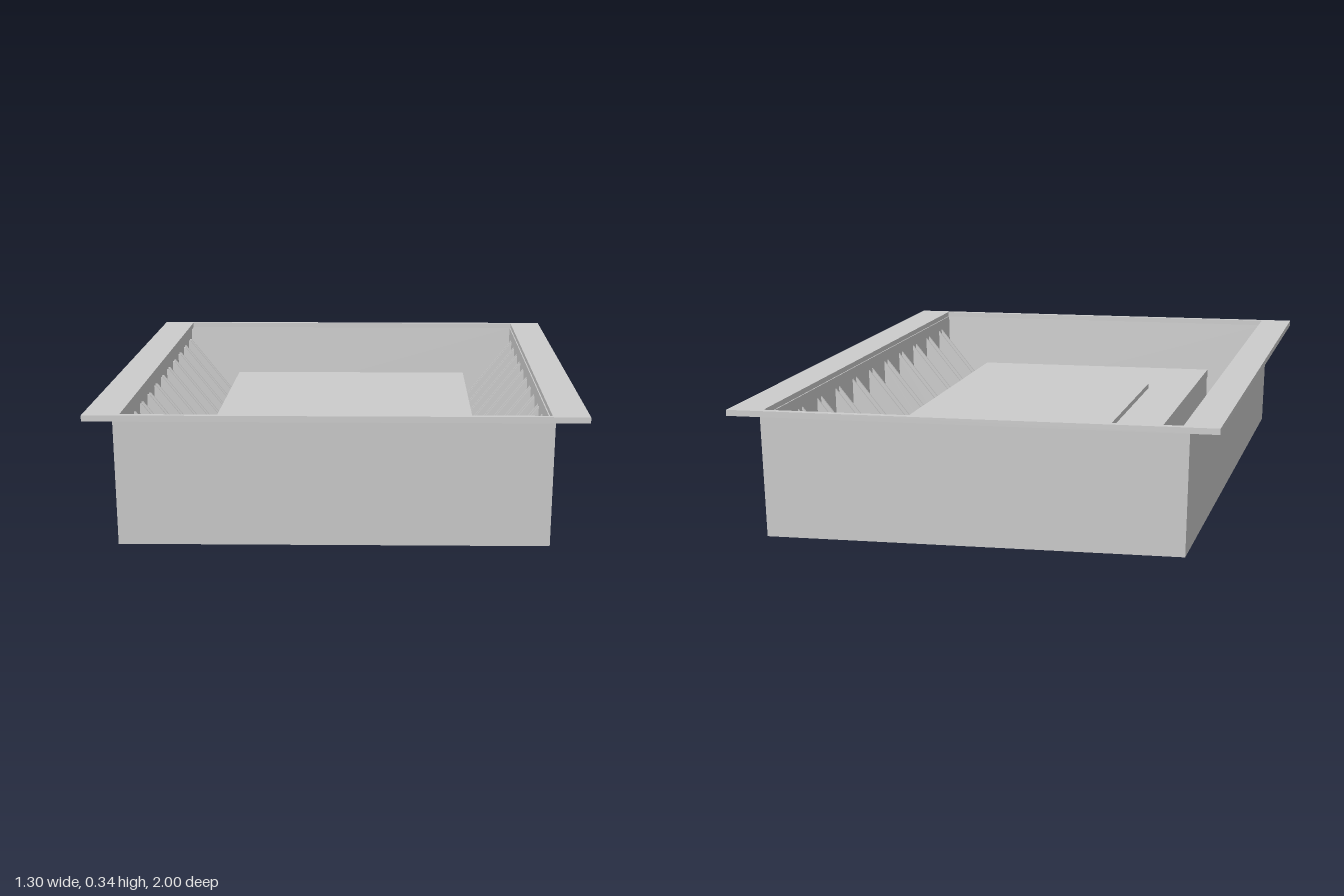
import * as THREE from 'three';

const material = new THREE.MeshStandardMaterial({ color: 0xcccccc, flatShading: true });

// Rectangular loft through rings of [half width, half depth, y], closed at both ends
function rectLoft(rings) {
  const points = rings.map(([w, d, y]) => [[-w, y, d], [w, y, d], [w, y, -d], [-w, y, -d]]);
  const pos = [];
  const quad = (a, b, c, d) => pos.push(...a, ...b, ...c, ...a, ...c, ...d);
  for (let i = 0; i < points.length - 1; i++) {
    for (let k = 0; k < 4; k++) {
      const n = (k + 1) % 4;
      quad(points[i][k], points[i][n], points[i + 1][n], points[i + 1][k]);
    }
  }
  const first = points[0], last = points[points.length - 1];
  quad(first[3], first[2], first[1], first[0]);
  quad(last[0], last[1], last[2], last[3]);
  const geo = new THREE.BufferGeometry();
  geo.setAttribute('position', new THREE.Float32BufferAttribute(pos, 3));
  geo.computeVertexNormals();
  return geo;
}

const rectPoints = (w, d) => [[-w, -d], [w, -d], [w, d], [-w, d]].map(([x, y]) => new THREE.Vector2(x, y));

export function createModel() {
  const model = new THREE.Group();
  const add = (name, geo, x = 0, y = 0, z = 0, parent = model) => {
    const mesh = new THREE.Mesh(geo, material);
    mesh.name = name;
    mesh.position.set(x, y, z);
    parent.add(mesh);
    return mesh;
  };
  const box = (name, w, d, y0, y1, z = 0) =>
    add(name, new THREE.BoxGeometry(w, y1 - y0, d), 0, (y0 + y1) / 2, z);

  // Thin-walled tray, slightly tapered towards the bottom
  add('tray', rectLoft([
    [0.557, 0.976, 0], [0.567, 0.986, 0.326],
    [0.556, 0.978, 0.326], [0.547, 0.968, 0.012],
  ]), -0.005);

  // Flat rim: wide along the sides, narrow at the ends
  const rimShape = new THREE.Shape(rectPoints(0.65, 1));
  rimShape.holes.push(new THREE.Path(rectPoints(0.554, 0.978)));
  const rimGeo = new THREE.ExtrudeGeometry(rimShape, { depth: 0.016, bevelEnabled: false });
  rimGeo.rotateX(-Math.PI / 2);
  add('rim', rimGeo, 0, 0.325);

  // Raised deck with a thin plate on top
  box('deckBase', 0.76, 1.76, 0.01, 0.16);
  box('deck', 0.77, 1.715, 0.16, 0.185);
  box('topPlate', 0.49, 0.99, 0.185, 0.2, -0.045);

  // Pairs of sloping ribs along both long walls
  const ribShape = new THREE.Shape([
    [0.38, 0.01], [0.55, 0.01], [0.557, 0.295], [0.551, 0.295], [0.38, 0.085],
  ].map(([x, y]) => new THREE.Vector2(x, y)));
  const thickness = 0.007;
  const ribGeo = new THREE.ExtrudeGeometry(ribShape, { depth: thickness, bevelEnabled: false });
  ribGeo.translate(0, 0, -thickness / 2);
  const ribs = { left: new THREE.Group(), right: new THREE.Group() };
  for (const [side, group] of Object.entries(ribs)) {
    group.name = side + 'Ribs';
    if (side === 'right') group.rotation.y = Math.PI;
    for (let i = -5; i <= 5; i++) {
      for (const s of [-1, 1]) {
        add('rib', ribGeo, 0, 0, (side === 'right' ? 1 : -1) * 0.003 + i * 0.1712 + s * 0.018, group);
      }
    }
    model.add(group);
  }
  return model;
}
